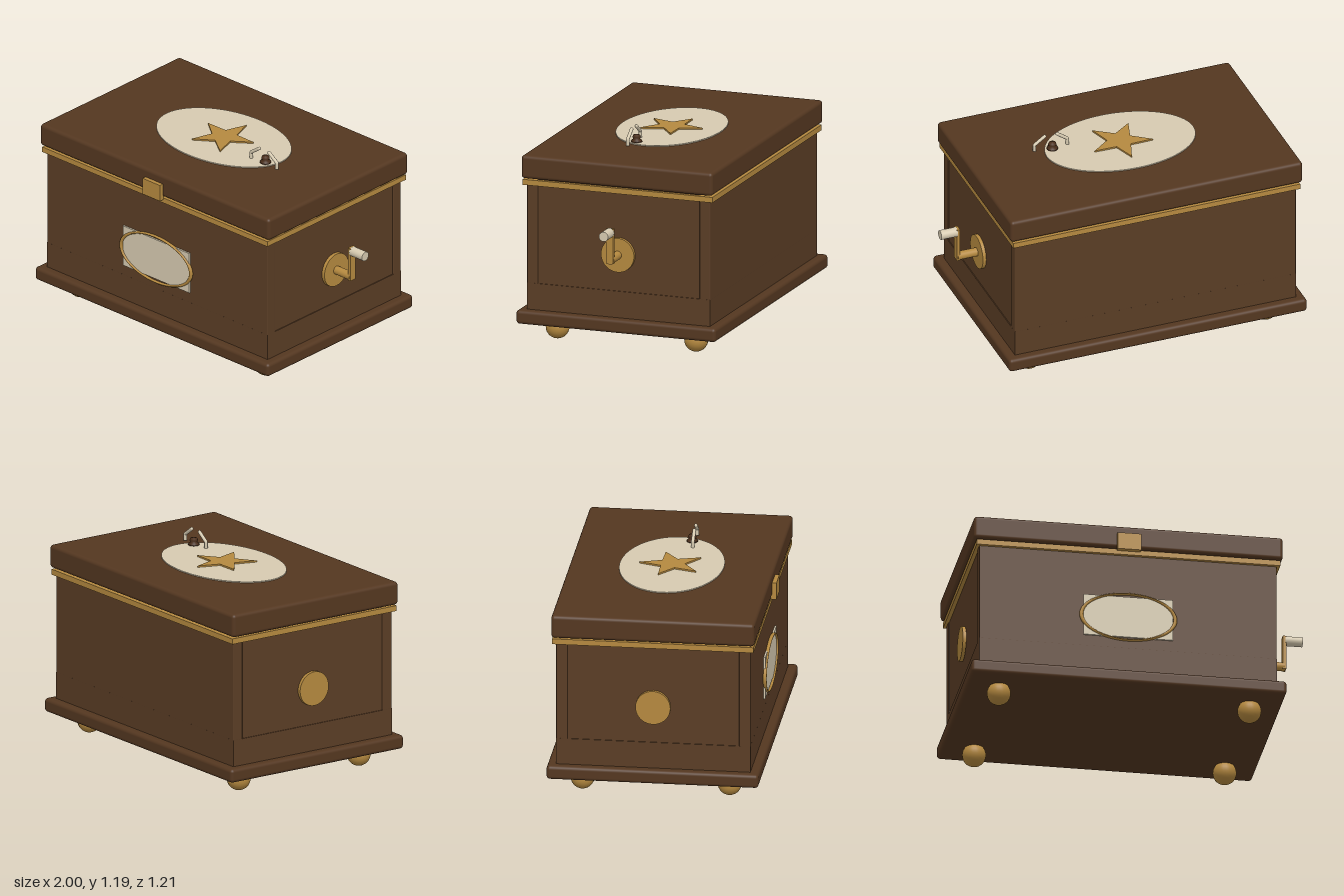
import * as THREE from 'three';
import { RoundedBoxGeometry } from 'three/addons/geometries/RoundedBoxGeometry.js';

const mat = (name, color) => new THREE.MeshStandardMaterial({ name, color });

export function createModel() {
  const group = new THREE.Group();
  const wood = mat('walnut', 0x5a3d25);
  const darkWood = mat('dark walnut', 0x543720);
  const knobWood = mat('knob brown', 0x4a2e1a);
  const brass = mat('brass', 0xb5893f);
  const ivory = mat('ivory', 0xd6cab0);
  const CX = -0.095; // centre of the box, shifted to make room for the crank

  const add = (name, geo, material, x, y, z) => {
    const mesh = new THREE.Mesh(geo, material);
    mesh.name = name;
    mesh.position.set(x, y, z);
    group.add(mesh);
    return mesh;
  };
  const box = (name, m, w, h, d, x, y, z) => add(name, new THREE.BoxGeometry(w, h, d), m, x, y, z);
  const rounded = (name, m, w, h, d, x, y, z, r) =>
    add(name, new RoundedBoxGeometry(w, h, d, 3, r), m, x, y, z);
  const rod = (name, m, r, len, x, y, z, seg = 24) => {
    const mesh = add(name, new THREE.CylinderGeometry(r, r, len, seg), m, x, y, z);
    mesh.rotation.z = Math.PI / 2;
    return mesh;
  };

  // Case: plinth, lower case, core, front and back panels with eased edges
  rounded('plinth', darkWood, 1.81, 0.08, 1.21, CX, 0.15, 0, 0.02);
  box('lowerCase', wood, 1.71, 0.16, 1.11, CX, 0.265, 0);
  box('caseCore', wood, 1.7, 0.62, 0.98, CX, 0.655, 0);
  for (const s of [1, -1]) {
    rounded(s > 0 ? 'frontPanel' : 'backPanel', wood, 1.71, 0.61, 0.065, CX, 0.645, s * 0.5225, 0.006);
  }
  box('brassTrim', brass, 1.745, 0.032, 1.15, CX, 0.936, 0);
  rounded('lid', darkWood, 1.775, 0.135, 1.16, CX, 1.0275, 0, 0.02);
  box('latch', brass, 0.135, 0.1, 0.03, CX, 0.992, 0.59);

  // Ball feet
  for (const x of [-0.72, 0.72]) for (const z of [-0.42, 0.42]) {
    add('foot', new THREE.SphereGeometry(0.068, 24, 16), brass, CX + x, 0.068, z);
  }

  // Front plate with an oval frame
  box('frontPlate', ivory, 0.515, 0.25, 0.01, CX, 0.535, 0.56);
  const frame = add('ovalFrame', new THREE.TorusGeometry(0.27, 0.011, 10, 64), brass, CX, 0.535, 0.564);
  frame.scale.y = 0.53;

  // Side discs and the crank
  rod('leftDisc', brass, 0.1, 0.02, 0.767, 0.56, 0, 40);
  rod('rightDisc', brass, 0.1, 0.02, -0.957, 0.56, 0, 40);
  rod('crankShaft', brass, 0.025, 0.125, 0.835, 0.56, 0);
  box('crankArm', brass, 0.02, 0.205, 0.044, 0.895, 0.643, 0);
  rod('crankHandle', ivory, 0.028, 0.1, 0.95, 0.722, 0);

  // Oval inlay and star on the lid
  const inlay = add('lidInlay', new THREE.CylinderGeometry(1, 1, 0.008, 64), ivory, CX, 1.097, 0);
  inlay.scale.set(0.445, 1, 0.297);
  const star = new THREE.Shape();
  for (let i = 0; i < 10; i++) {
    const r = i % 2 ? 0.074 : 0.186;
    const a = Math.PI / 2 + (i * Math.PI) / 5;
    star[i ? 'lineTo' : 'moveTo'](r * Math.cos(a), r * Math.sin(a));
  }
  star.closePath();
  const starMesh = add('star', new THREE.ExtrudeGeometry(star, { depth: 0.01, bevelEnabled: false }), brass, CX, 1.1, 0);
  starMesh.rotation.x = -Math.PI / 2;

  // Small figure on the lid: a turned knob between two bent arms
  const knob = [[0, 0], [0.033, 0], [0.03, 0.01], [0.018, 0.018], [0.024, 0.028], [0.02, 0.04], [0, 0.046]];
  add('knob', new THREE.LatheGeometry(knob.map(([x, y]) => new THREE.Vector2(x, y)), 24), knobWood, 0.29, 1.1, 0.068);
  const P = (x, y) => new THREE.Vector3(x, y, 0);
  for (const s of [1, -1]) {
    const path = new THREE.CurvePath();
    path.add(new THREE.LineCurve3(P(s * 0.1, 0), P(s * 0.1, 0.038)));
    path.add(new THREE.LineCurve3(P(s * 0.1, 0.038), P(s * 0.038, 0.082)));
    add('bentArm', new THREE.TubeGeometry(path, 24, 0.01, 10), ivory, 0.293, 1.1, 0.083);
    const tip = add('armTip', new THREE.SphereGeometry(0.01, 10, 8), ivory, 0.293 + s * 0.038, 1.182, 0.083);
    tip.name = 'armTip';
  }
  return group;
}
